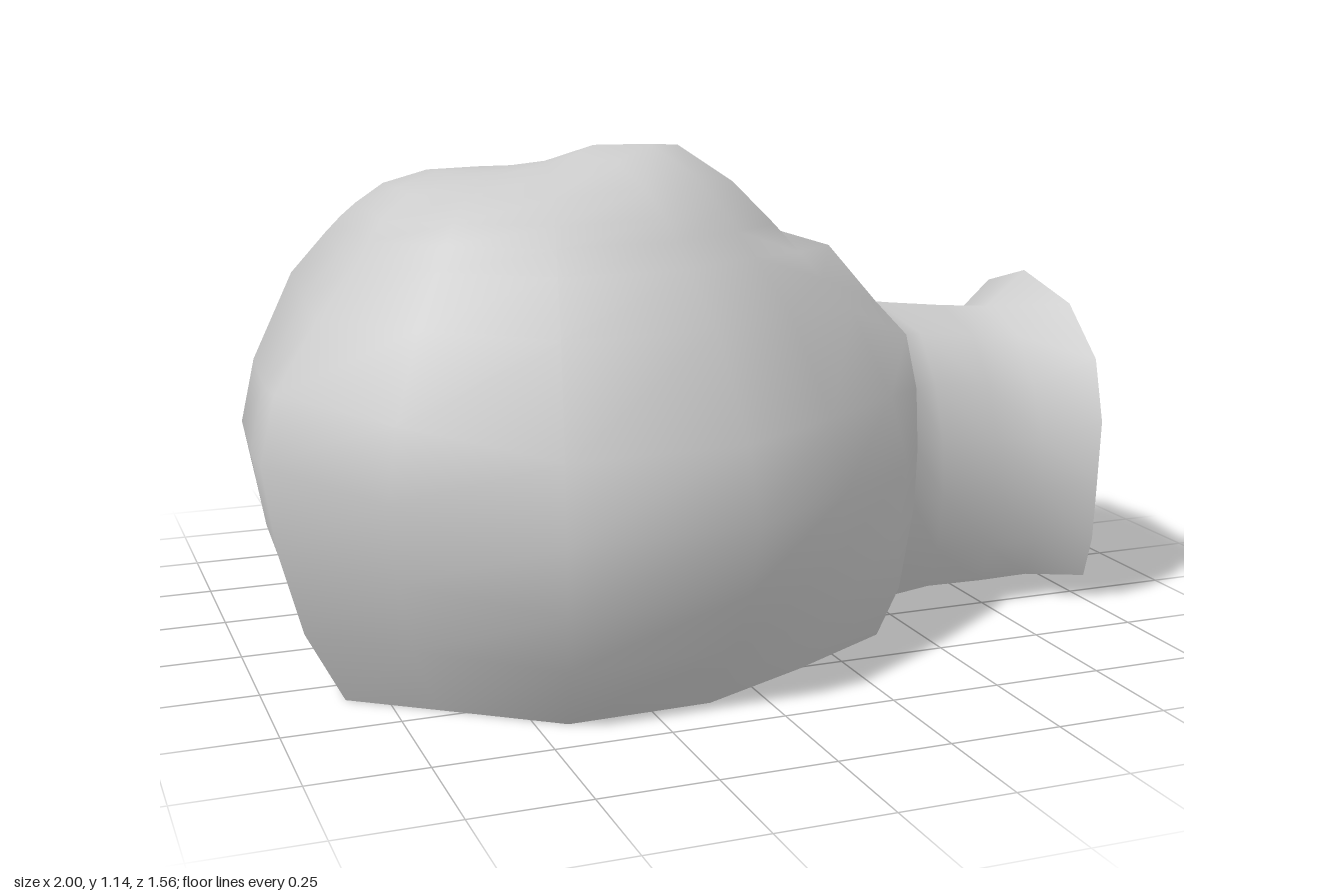
import * as THREE from 'three';
import { mergeVertices } from 'three/addons/utils/BufferGeometryUtils.js';

const material = new THREE.MeshStandardMaterial({ color: 0xcccccc, side: THREE.DoubleSide });

// Skin a list of equally long rows of [x, y, z] points
function skin(name, rows) {
  const n = rows[0].length;
  const index = [];
  for (let r = 0; r < rows.length - 1; r++) {
    for (let c = 0; c < n - 1; c++) {
      const a = r * n + c, b = a + n;
      index.push(a, b, a + 1, b, b + 1, a + 1);
    }
  }
  let geometry = new THREE.BufferGeometry();
  geometry.setAttribute('position', new THREE.Float32BufferAttribute(rows.flat(2), 3));
  geometry.setIndex(index);
  geometry = mergeVertices(geometry, 1e-4);
  geometry.computeVertexNormals();
  const mesh = new THREE.Mesh(geometry, material);
  mesh.name = name;
  return mesh;
}

// Widest outline of the dome in plan, from the tunnel's left side round the back:
// x, z, shoulder fullness, shoulder drop, lift at mid height, lift of the foot
const outline = [
  [0.43, 0.45, 0.1, 0.07, 0, 0.03], [0.2, 0.61, 0.02, 0, 0, 0.015], [-0.07, 0.77, 0, 0, 0, 0],
  [-0.48, 0.78, 0, 0, 0, 0], [-0.78, 0.56, 0, 0, 0.06, 0], [-1, 0.4, 0, 0, 0.12, 0],
  [-0.96, 0, 0, 0, 0.05, 0], [-0.9, -0.53, 0, 0, 0, 0], [-0.49, -0.78, 0.06, 0, 0, 0],
  [-0.03, -0.68, 0.15, 0, 0, 0], [0.2, -0.56, 0.16, 0, 0, 0.015], [0.38, -0.44, 0.16, 0.04, 0, 0.03],
];

// Dome levels: height, outline scale, then the front edge point x, y and half width.
// The front edge follows the tunnel arch, closes above it and forms a ledge.
const levels = [
  [0, 0.77, 0.48, 0.06, 0.265],
  [0.14, 0.89, 0.49, 0.16, 0.31],
  [0.27, 0.96, 0.5, 0.3, 0.335],
  [0.42, 1, 0.51, 0.43, 0.325],
  [0.58, 0.95, 0.53, 0.56, 0.275],
  [0.8, 0.81, 0.55, 0.67, 0.18],
  [0.91, 0.69, 0.56, 0.72, 0],
  [0.96, 0.64, 0.43, 0.865, 0],
  [1.0, 0.59, 0.27, 0.9, 0],
  [1.05, 0.5, 0.15, 1.03, 0],
  [1.08, 0.36, 0.03, 1.09, 0],
  [1.08, 0.17, -0.12, 1.11, 0],
  [1.08, 0, -0.28, 1.08, 0],
];
const midZ = 0.02;

// Crown: tilted down to the right with a bump near the front left
function crownOffset(x, y, z) {
  const amount = THREE.MathUtils.smoothstep(y, 0.85, 1.05);
  const bump = 0.075 * Math.exp(-((x + 0.09) ** 2 + (z - 0.15) ** 2) / 0.035);
  return amount * (0.07 * Math.min(z - 0.1, 0) + bump);
}

function createDome() {
  const centreX = -0.28;
  const rows = levels.map(([y, s, fx, fy, fz]) => {
    const shoulder = Math.exp(-(((y - 0.92) / 0.12) ** 2));
    const middle = Math.sin(Math.PI * Math.min(y, 0.9) / 0.9) ** 2;
    const nearGround = Math.max(0, 1 - y / 0.3);
    const centreZ = y < 0.4 ? 0.15 : midZ;
    const ring = outline.map(([x, z, full, drop, lift, foot]) => {
      const k = s * (1 + full * shoulder + foot * 6 * nearGround);
      const px = centreX + (x - centreX) * k;
      const pz = z * k + centreZ * (1 - s);
      const py = y + lift * middle - drop * shoulder + (y === 0 ? foot : 0);
      return [px, py + crownOffset(px, y, pz), pz];
    });
    const frontY = s === 0 ? ring[0][1] : fy;
    return [[fx, frontY, midZ + fz], ...ring, [fx, frontY, midZ - fz]];
  });
  return skin('dome', rows);
}

function createTunnel() {
  // Neck arch shared with the dome, from the left foot over to the right foot
  const half = levels.slice(0, 7).map(([, , x, y, z]) => [x, y, z]);
  const neck = [...half, ...half.slice(0, -1).reverse().map(([x, y, z]) => [x, y, -z])];
  const base = 0.06;
  // Stations: x, width scale, top height; the mouth flares out
  const stations = [[0.6, 0.87, 0.715], [0.74, 0.89, 0.7], [0.87, 0.87, 0.69], [0.985, 1.09, 0.775]];
  const rows = [neck.map(([x, y, z]) => [x, y, z + midZ])];
  stations.forEach(([sx, w, top], i) => {
    rows.push(neck.map(([, y, z], k) => [
      sx + (i === 3 ? 0.012 * Math.cos(k * 1.6) : 0),
      base + (y - base) * (top - base) / (0.72 - base),
      midZ + z * w,
    ]));
  });
  return skin('entranceTunnel', rows);
}

export function createModel() {
  const group = new THREE.Group();
  group.name = 'domeShelter';
  group.add(createDome(), createTunnel());
  return group;
}
